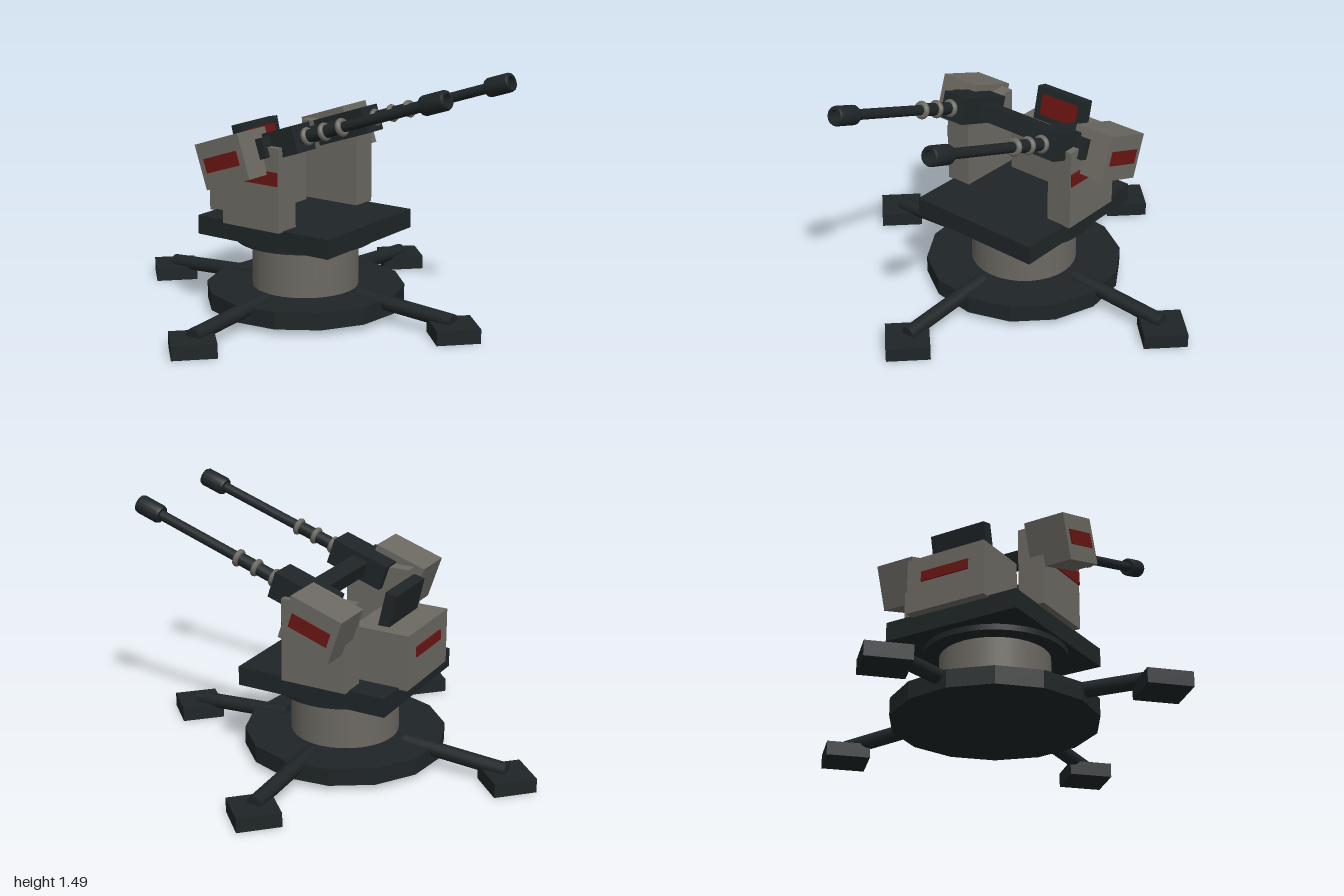
import * as THREE from 'three';
import { toCreasedNormals } from 'three/addons/utils/BufferGeometryUtils.js';

const dark = new THREE.MeshStandardMaterial({ color: 0x1f2527 });
const darkFlat = new THREE.MeshStandardMaterial({ color: 0x1f2527, flatShading: true });
const grey = new THREE.MeshStandardMaterial({ color: 0x6c6962 });
const red = new THREE.MeshStandardMaterial({ color: 0x6a1613 });

function add(parent, name, geometry, material, x = 0, y = 0, z = 0) {
  const mesh = new THREE.Mesh(geometry, material);
  mesh.name = name;
  mesh.position.set(x, y, z);
  parent.add(mesh);
  return mesh;
}

function box(parent, name, material, [w, h, d], [x, y, z]) {
  return add(parent, name, new THREE.BoxGeometry(w, h, d), material, x, y, z);
}

// Cylinder running from point a to point b
function rod(parent, name, material, a, b, radius, sides = 14) {
  const dir = b.clone().sub(a);
  const mesh = add(parent, name, new THREE.CylinderGeometry(radius, radius, dir.length(), sides), material);
  mesh.position.copy(a).add(b).multiplyScalar(0.5);
  mesh.quaternion.setFromUnitVectors(new THREE.Vector3(0, 1, 0), dir.normalize());
  return mesh;
}

function buildBase() {
  const base = new THREE.Group();
  base.name = 'base';
  add(base, 'baseDisc', new THREE.CylinderGeometry(0.6, 0.6, 0.105, 14), darkFlat, 0, 0.0875, 0);
  add(base, 'column', new THREE.CylinderGeometry(0.322, 0.322, 0.31, 32), grey, 0, 0.285, 0);
  add(base, 'bearingPlate', new THREE.CylinderGeometry(0.42, 0.42, 0.04, 32), dark, 0, 0.45, 0);

  // Four diagonal legs with square feet
  for (const sx of [-1, 1]) {
    for (const sz of [-1, 1]) {
      rod(base, 'leg', dark,
        new THREE.Vector3(sx * 0.28, 0.132, sz * 0.28),
        new THREE.Vector3(sx * 0.74, 0.092, sz * 0.74), 0.045);
      box(base, 'foot', dark, [0.256, 0.085, 0.256], [sx * 0.742, 0.0425, sz * 0.742]);
    }
  }
  return base;
}

// Barrel along +z with collars and a hollow muzzle
function buildBarrel(side) {
  const barrel = new THREE.Group();
  barrel.name = 'barrel';
  barrel.position.x = side * 0.345;
  rod(barrel, 'barrelSleeve', dark, new THREE.Vector3(0, 0, 0.24), new THREE.Vector3(0, 0, 0.55), 0.038);
  rod(barrel, 'barrelTube', dark, new THREE.Vector3(0, 0, 0.5), new THREE.Vector3(0, 0, 1.16), 0.03);
  for (const z of [0.29, 0.415, 0.54]) {
    add(barrel, 'collar', new THREE.TorusGeometry(0.036, 0.018, 8, 20), grey, 0, 0, z);
  }
  const profile = [[0, 0], [0.05, 0], [0.056, 0.012], [0.056, 0.148], [0.05, 0.16], [0.034, 0.16], [0.034, 0.09], [0, 0.09]]
    .map(([r, y]) => new THREE.Vector2(r, y));
  const muzzle = toCreasedNormals(new THREE.LatheGeometry(profile, 14), 0.6);
  muzzle.rotateX(Math.PI / 2);
  add(barrel, 'muzzle', muzzle, dark, 0, 0, 1.095);
  return barrel;
}

// Tilting gun assembly, pivoting on the pillars
function buildGuns() {
  const guns = new THREE.Group();
  guns.name = 'guns';
  guns.position.y = 1.043;
  guns.rotation.x = -THREE.MathUtils.degToRad(18.5);
  box(guns, 'crossbar', dark, [0.54, 0.1, 0.1], [0, 0, 0.06]);
  for (const s of [-1, 1]) {
    box(guns, 'gunBody', dark, [0.17, 0.16, 0.37], [s * 0.345, 0, 0.075]);
    box(guns, 'podBracket', dark, [0.09, 0.12, 0.14], [s * 0.455, 0, 0.02]);
    box(guns, 'pod', grey, [0.25, 0.27, 0.33], [s * 0.51, -0.016, -0.126]);
    box(guns, 'podPanel', red, [0.012, 0.085, 0.25], [s * 0.635, -0.016, -0.126]);
    guns.add(buildBarrel(s));
  }
  return guns;
}

function buildTurret() {
  const turret = new THREE.Group();
  turret.name = 'turret';
  box(turret, 'platform', dark, [0.86, 0.115, 0.95], [0, 0.5225, 0]);

  // Rear housing with display
  box(turret, 'rearHousing', grey, [0.51, 0.33, 0.35], [0, 0.735, -0.355]);
  box(turret, 'rearStripe', red, [0.31, 0.06, 0.02], [0, 0.775, -0.53]);
  const display = new THREE.Group();
  display.name = 'display';
  display.position.set(0, 0.98, -0.355);
  display.rotation.x = -0.22;
  box(display, 'displayCase', dark, [0.36, 0.24, 0.07], [0, 0, 0]);
  box(display, 'displayScreen', red, [0.27, 0.13, 0.01], [0, 0.015, 0.035]);
  turret.add(display);

  // Side pillars
  for (const s of [-1, 1]) {
    box(turret, 'pillar', grey, [0.163, 0.495, 0.41], [s * 0.389, 0.8225, -0.045]);
    box(turret, 'pillarStripe', red, [0.012, 0.08, 0.36], [s * 0.472, 0.89, -0.025]);
  }
  turret.add(buildGuns());
  turret.rotation.y = Math.PI / 4;
  return turret;
}

export function createModel() {
  const model = new THREE.Group();
  model.name = 'gunTurret';
  const assembly = new THREE.Group();
  assembly.name = 'assembly';
  assembly.position.set(-0.13, 0, -0.126);
  assembly.add(buildBase(), buildTurret());
  model.add(assembly);
  return model;
}
